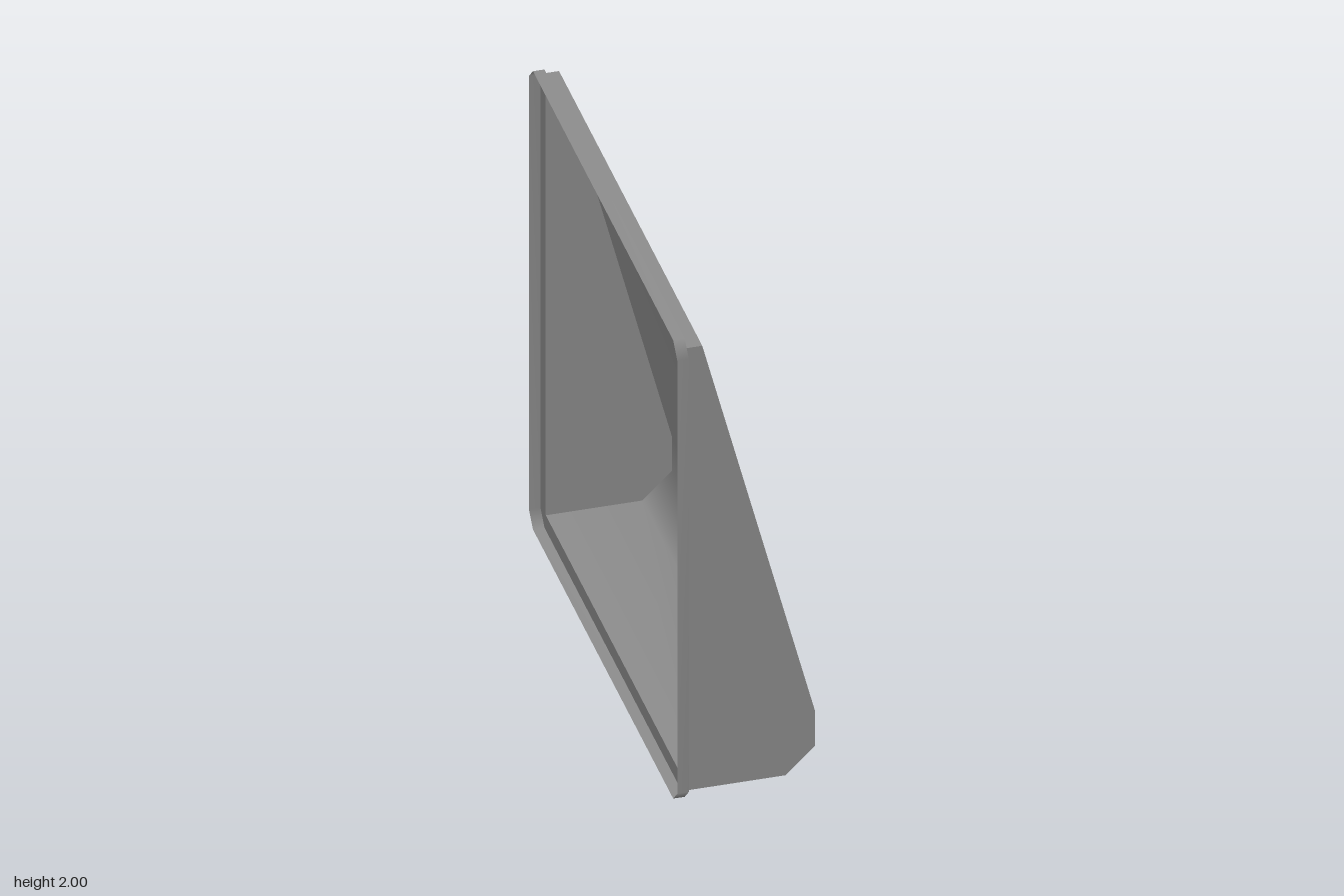
import * as THREE from 'three';

// Smooth sheet swept along z through counter-clockwise [x, y] points.
function sweep(points, z0, z1, closed = false) {
  const pos = [], index = [];
  points.forEach(([x, y]) => pos.push(x, y, z0, x, y, z1));
  const n = points.length;
  for (let i = 0; i < (closed ? n : n - 1); i++) {
    const a = 2 * i, b = 2 * ((i + 1) % n);
    index.push(a, b, a + 1, b, b + 1, a + 1);
  }
  const g = new THREE.BufferGeometry();
  g.setAttribute('position', new THREE.Float32BufferAttribute(pos, 3));
  g.setIndex(index);
  g.computeVertexNormals();
  return g;
}

const toShape = (points) => new THREE.Shape(points.map(([x, y]) => new THREE.Vector2(x, y)));

export function createModel() {
  const group = new THREE.Group();
  const shell = new THREE.MeshStandardMaterial({ name: 'shell grey', color: 0x8c8c8c, side: THREE.DoubleSide });
  const panel = new THREE.MeshStandardMaterial({ name: 'panel grey', color: 0x919191, side: THREE.DoubleSide });
  const add = (name, geometry, material = shell) => {
    const mesh = new THREE.Mesh(geometry, material);
    mesh.name = name;
    group.add(mesh);
    return mesh;
  };

  const back = -0.27, seam = -0.226, half = 0.965;

  // Hollow wedge: floor, rounded toe and slope, then a narrow top
  const profile = [[seam, 0.04], [0.152, 0.04], [0.265, 0.15], [0.265, 0.3], [-0.165, 1.97]];
  const top = [[-0.165, 1.97], [seam, 1.97]];
  add('slopedShell', sweep(profile, -half, half));
  add('topStrip', sweep(top, -half, half));

  // Flat side walls
  const wall = [...profile, top[1]];
  add('leftSideWall', new THREE.ShapeGeometry(toShape(wall))).position.z = half;
  const other = new THREE.ShapeGeometry(toShape(wall.map(([x, y]) => [-x, y]))).rotateY(Math.PI);
  add('rightSideWall', other).position.z = -half;

  // Rim around the open side: thin outer lip and a flat flange
  const c = 0.055;
  const outline = [
    [-1 + c, 0], [1 - c, 0], [1, c], [1, 2 - c],
    [1 - c, 2], [-1 + c, 2], [-1, 2 - c], [-1, c],
  ];
  add('rimLip', sweep(outline, back, seam, true).rotateY(Math.PI / 2));
  const flange = toShape(outline);
  const i = 0.935;
  flange.holes.push(toShape([[-i, 1 - i], [-i, 1 + i], [i, 1 + i], [i, 1 - i]]));
  add('rimFlange', new THREE.ShapeGeometry(flange).rotateY(Math.PI / 2)).position.x = seam;

  // Thin inset panel lying on the slope
  const slopeX = (y) => 0.265 - (0.43 / 1.67) * (y - 0.3) + 0.004;
  add('slopePanel', sweep([[slopeX(0.6), 0.6], [slopeX(1.36), 1.36]], -0.86, 0.115), panel);

  return group;
}
